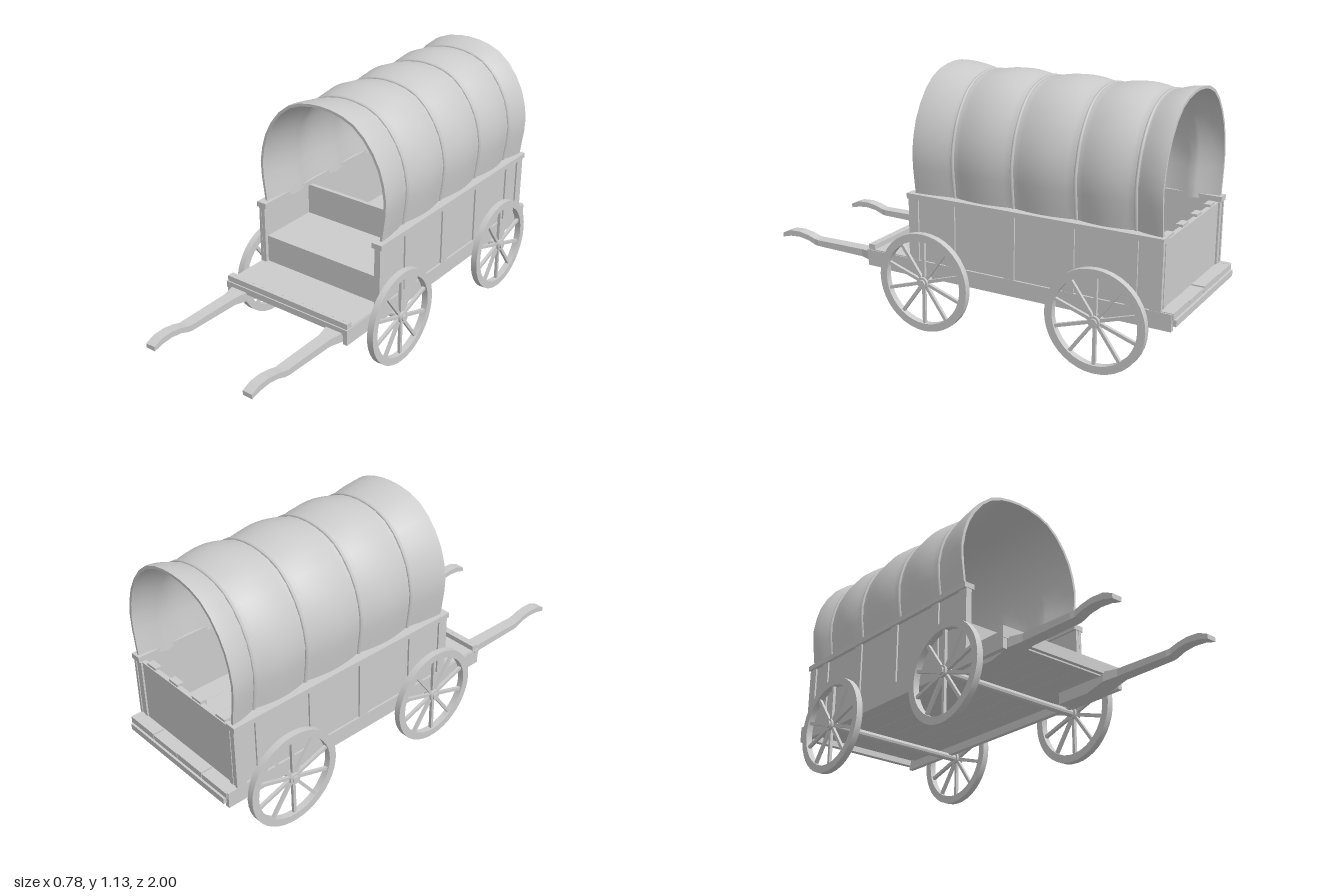
import * as THREE from 'three';
import { toCreasedNormals } from 'three/addons/utils/BufferGeometryUtils.js';

const flat = new THREE.MeshStandardMaterial({ color: 0xcccccc, flatShading: true });
const smooth = new THREE.MeshStandardMaterial({ color: 0xcccccc });
const cloth = new THREE.MeshStandardMaterial({ color: 0xcccccc, side: THREE.DoubleSide });

function add(parent, name, geometry, material = flat) {
  const mesh = new THREE.Mesh(geometry, material);
  mesh.name = name;
  parent.add(mesh);
  return mesh;
}

// Box given by its lower and upper limits on each axis
function box(parent, name, x0, x1, y0, y1, z0, z1) {
  const mesh = add(parent, name, new THREE.BoxGeometry(x1 - x0, y1 - y0, z1 - z0));
  mesh.position.set((x0 + x1) / 2, (y0 + y1) / 2, (z0 + z1) / 2);
  return mesh;
}

// The same box on both sides of the body
function boxPair(parent, name, x0, x1, y0, y1, z0, z1) {
  box(parent, name + 'Left', x0, x1, y0, y1, z0, z1);
  box(parent, name + 'Right', -x1, -x0, y0, y1, z0, z1);
}

// Skin over a row of cross-sections; closeRing joins the last corner to the first
function loft(rings, closeRing) {
  const n = rings[0].length, index = [];
  const steps = closeRing ? n : n - 1;
  for (let i = 0; i < rings.length - 1; i++) {
    for (let j = 0; j < steps; j++) {
      const k = (j + 1) % n;
      const a = i * n + j, b = i * n + k, c = (i + 1) * n + k, d = (i + 1) * n + j;
      index.push(a, b, c, a, c, d);
    }
  }
  if (closeRing) {
    const e = (rings.length - 1) * n;
    for (let j = 1; j < n - 1; j++) index.push(0, j + 1, j, e, e + j, e + j + 1);
  }
  const g = new THREE.BufferGeometry();
  g.setAttribute('position', new THREE.Float32BufferAttribute(rings.flat(2), 3));
  g.setIndex(index);
  g.computeVertexNormals();
  return g;
}

// Half outline of the canvas arch, from the rail to the crown
const half = [[0.318, 0.585], [0.33, 0.68], [0.34, 0.775], [0.325, 0.87], [0.293, 0.955],
  [0.233, 1.04], [0.158, 1.098], [0.075, 1.122]];
const archCurve = new THREE.SplineCurve([
  ...half.map(([x, y]) => new THREE.Vector2(x, y)),
  new THREE.Vector2(0, 1.129),
  ...half.map(([x, y]) => new THREE.Vector2(-x, y)).reverse(),
]);
function arch(z, inset) {
  return archCurve.getPoints(22).map((p) =>
    [p.x * (1 - inset / 0.34), 0.585 + (p.y - 0.585) * (1 - inset / 0.545), z]);
}

function makeCover(parent) {
  const stops = [-0.93, -0.81, -0.55, -0.26, 0.025, 0.21], stations = [];
  for (let s = 0; s < 5; s++) {
    for (let k = s ? 1 : 0; k <= 8; k++) {
      const t = k / 8;
      let pinch = 0.006 + 0.021 * (1 - Math.sin(Math.PI * t));
      if (s === 0) pinch = 0.027 * (1 - Math.cos(t * Math.PI / 2));
      if (s === 4) pinch = 0.027 * (1 - Math.sin(t * Math.PI / 2));
      stations.push([THREE.MathUtils.lerp(stops[s], stops[s + 1], t), pinch]);
    }
  }
  // outer skin, then back along the inner skin
  const rings = stations.map(([z, p]) => arch(z, p));
  rings.push(...stations.slice().reverse().map(([z, p]) => arch(z, p + 0.012)), arch(-0.93, 0));
  add(parent, 'canvasCover', toCreasedNormals(loft(rings, false), 0.7), cloth);

  // hoops tied over the canvas
  for (const z of stops.slice(1, 5)) {
    const path = new THREE.CatmullRomCurve3(arch(z, 0.026).map((p) => new THREE.Vector3(...p)));
    add(parent, 'coverHoop', new THREE.TubeGeometry(path, 44, 0.008, 6), smooth);
  }
}

function makeWheel() {
  const wheel = new THREE.Group();
  wheel.name = 'wheel';
  const rim = new THREE.LatheGeometry(
    [[0.188, -0.015], [0.222, -0.015], [0.222, 0.015], [0.188, 0.015], [0.188, -0.015]]
      .map(([r, y]) => new THREE.Vector2(r, y)), 40);
  add(wheel, 'rim', toCreasedNormals(rim, 0.6), smooth);
  add(wheel, 'hub', toCreasedNormals(new THREE.CylinderGeometry(0.026, 0.026, 0.036, 16), 0.6), smooth);
  const count = 10;
  for (let i = 0; i < count; i++) {
    const a = i / count * Math.PI * 2;
    const spoke = add(wheel, 'spoke', new THREE.BoxGeometry(0.175, 0.014, 0.014));
    spoke.position.set(Math.cos(a) * 0.106, 0, Math.sin(a) * 0.106);
    spoke.rotation.y = -a;
  }
  wheel.rotation.z = Math.PI / 2;
  return wheel;
}

// Pulling shaft, given as z, bottom, top, half width
function makeShaft(parent, name, x) {
  const sections = [[0.2, 0.215, 0.268, 0.045], [0.37, 0.215, 0.268, 0.045], [0.46, 0.24, 0.284, 0.044],
    [0.53, 0.246, 0.28, 0.029], [0.79, 0.248, 0.276, 0.027], [0.81, 0.25, 0.278, 0.024],
    [0.85, 0.265, 0.29, 0.024], [0.9, 0.272, 0.298, 0.024], [0.955, 0.268, 0.295, 0.024],
    [0.975, 0.262, 0.287, 0.024], [1.0, 0.256, 0.276, 0.024]];
  const rings = sections.map(([z, b, t, w]) =>
    [[x + w, b, z], [x + w, t, z], [x - w, t, z], [x - w, b, z]]);
  add(parent, name, loft(rings, true));
}

export function createModel() {
  const wagon = new THREE.Group();
  wagon.name = 'coveredWagon';
  const body = new THREE.Group();
  body.name = 'body';
  body.position.x = -0.007;
  wagon.add(body);

  // chassis: side beams, floor planks, end boards
  boxPair(body, 'sideBeam', 0.312, 0.334, 0.23, 0.303, -0.985, 0.465);
  for (let i = 0; i < 6; i++) {
    const x = -0.312 + i * 0.104;
    box(body, 'floorPlank', x + 0.0005, x + 0.1035, 0.268, 0.3, -0.94, 0.45);
  }
  box(body, 'frontBoard', -0.335, 0.335, 0.275, 0.304, 0.44, 0.468);
  box(body, 'footBoard', -0.33, 0.33, 0.298, 0.307, 0.22, 0.44);
  box(body, 'frontLip', -0.331, 0.331, 0.304, 0.33, 0.43, 0.462);
  for (let i = 0; i < 12; i++) {
    const nail = add(body, 'nail', new THREE.CylinderGeometry(0.003, 0.003, 0.003, 6));
    nail.position.set(-0.303 + i * 0.0551, 0.331, 0.446);
  }
  for (let i = 0; i < 4; i++) {
    const x = -0.33 + i * 0.165;
    box(body, 'rearPlank', x + 0.002, x + 0.163, 0.278, 0.302 + (i % 2) * 0.004, -0.99, -0.935);
  }
  box(body, 'rearBoard', -0.32, 0.32, 0.25, 0.278, -1, -0.975);

  // side walls with posts and top rails
  boxPair(body, 'sideWall', 0.303, 0.325, 0.3, 0.585, -0.935, 0.238);
  boxPair(body, 'topRail', 0.292, 0.342, 0.58, 0.604, -0.942, 0.242);
  for (const z of [0.215, 0.03, -0.26, -0.535, -0.81, -0.915]) {
    boxPair(body, 'wallPost', 0.32, 0.333, 0.3, 0.582, z - 0.024, z + 0.024);
  }
  boxPair(body, 'rearInnerPost', 0.285, 0.305, 0.3, 0.58, -0.938, -0.915);

  // tailgate with cleats along its top
  box(body, 'tailgate', -0.303, 0.303, 0.3, 0.58, -0.93, -0.908);
  for (let i = 0; i < 4; i++) {
    const x = -0.232 + i * 0.153;
    box(body, 'tailgateCleat', x - 0.029, x + 0.029, 0.55, 0.591, -0.925, -0.895);
  }

  // driver's bench
  box(body, 'seat', -0.303, 0.303, 0.3, 0.435, -0.07, 0.222);
  box(body, 'seatBack', -0.303, 0.303, 0.3, 0.58, -0.09, -0.07);

  makeCover(body);
  makeShaft(body, 'shaftLeft', 0.267);
  makeShaft(body, 'shaftRight', -0.262);

  // wheels and axles
  for (const z of [0.138, -0.68]) {
    const axle = add(wagon, 'axle', new THREE.CylinderGeometry(0.017, 0.017, 0.784, 10));
    axle.rotation.z = Math.PI / 2;
    axle.position.set(0, 0.225, z);
    for (const side of [1, -1]) {
      const wheel = makeWheel();
      wheel.position.set(side * 0.366, 0.225, z);
      wagon.add(wheel);
    }
  }
  // wheels rest on the ground
  wagon.children.forEach((c) => { c.position.y -= 0.003; });
  return wagon;
}
